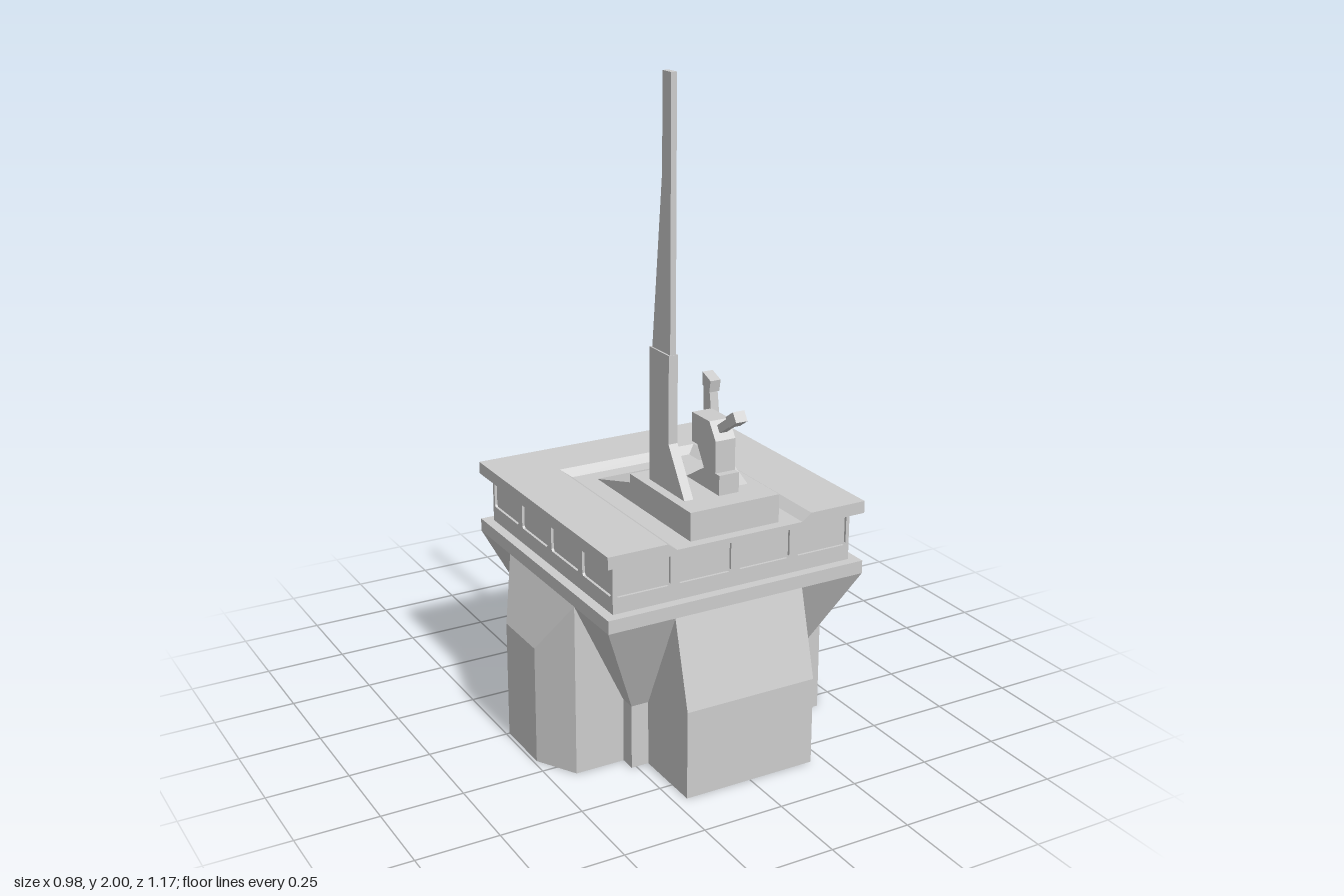
import * as THREE from 'three';
import { ConvexGeometry } from 'three/addons/geometries/ConvexGeometry.js';

const material = new THREE.MeshStandardMaterial({ color: 0xcccccc, flatShading: true });
const MID_Z = 0.095; // middle of the square upper storey

export function createModel() {
  const model = new THREE.Group();

  const add = (name, geometry, parent = model) => {
    const mesh = new THREE.Mesh(geometry, material);
    mesh.name = name;
    parent.add(mesh);
    return mesh;
  };

  // Box given by its limits on each axis
  const block = (name, [x0, x1], [y0, y1], [z0, z1]) => {
    const mesh = add(name, new THREE.BoxGeometry(x1 - x0, y1 - y0, z1 - z0));
    mesh.position.set((x0 + x1) / 2, (y0 + y1) / 2, (z0 + z1) / 2);
    return mesh;
  };

  const hull = (name, points) =>
    add(name, new ConvexGeometry(points.map((p) => new THREE.Vector3(...p))));

  const extrude = (points, depth) =>
    new THREE.ExtrudeGeometry(new THREE.Shape(points.map((p) => new THREE.Vector2(...p))), {
      depth,
      bevelEnabled: false,
    });

  // Side profile of [z, y] points, given thickness along x
  const profile = (name, points, x, width) =>
    add(name, extrude(points, width).rotateY(-Math.PI / 2).translate(x + width / 2, 0, 0));

  const rect = (x, y, z0, z1) => [[-x, y, z0], [x, y, z0], [x, y, z1], [-x, y, z1]];

  // Core: straight foot flaring out to the upper storey
  block('coreFoot', [-0.265, 0.265], [0, 0.2], [-0.175, 0.36]);
  hull('coreFlare', [...rect(0.265, 0.2, -0.175, 0.36), ...rect(0.42, 0.53, -0.325, 0.515)]);

  // Front buttress and rear buttress with its sloping tail
  profile('frontButtress', [[0.2, 0], [0.585, 0], [0.585, 0.27], [0.515, 0.53], [0.2, 0.53]], 0, 0.42);
  profile('rearButtress', [
    [0, 0], [0, 0.53], [-0.325, 0.53], [-0.39, 0.27], [-0.395, 0.2], [-0.585, 0.04], [-0.585, 0],
  ], 0, 0.42);

  // Side buttresses with chamfered corners and sloping shoulders
  for (const s of [1, -1]) {
    const points = [];
    for (const [inner, outer] of [[-0.115, 0], [0.31, 0.19]]) {
      points.push([0.2 * s, 0, inner], [0.42 * s, 0, inner], [0.49 * s, 0, outer]);
      points.push([0.2 * s, 0.53, inner], [0.42 * s, 0.53, inner], [0.49 * s, 0.365, outer]);
    }
    hull('sideButtress', points);
  }

  // Ledge and window storey
  block('ledge', [-0.42, 0.42], [0.53, 0.57], [-0.325, 0.515]);
  block('windowPanes', [-0.382, 0.382], [0.57, 0.72], [MID_Z - 0.382, MID_Z + 0.382]);
  for (let side = 0; side < 4; side++) {
    const w = side % 2 ? 0.382 : 0.39;
    const shape = new THREE.Shape([[-w, 0.57], [w, 0.57], [w, 0.72], [-w, 0.72]].map((p) => new THREE.Vector2(...p)));
    for (const cx of [-0.294, -0.098, 0.098, 0.294]) {
      const [l, r, b, t, c] = [cx - 0.085, cx + 0.085, 0.618, 0.71, 0.006];
      shape.holes.push(new THREE.Path([
        [l + c, b], [l, b + c], [l, t - c], [l + c, t], [r - c, t], [r, t - c], [r, b + c], [r - c, b],
      ].map((p) => new THREE.Vector2(...p))));
    }
    const wall = add('windowFrame', new THREE.ExtrudeGeometry(shape, { depth: 0.008, bevelEnabled: false }).translate(0, 0, 0.382));
    wall.rotation.y = (side * Math.PI) / 2;
    wall.position.z = MID_Z;
  }

  // Roof: slab plus a raised, bevelled border open at the front
  block('roofSlab', [-0.42, 0.42], [0.72, 0.735], [-0.325, 0.515]);
  for (const s of [1, -1]) {
    const border = [[0.42, 0.735], [0.42, 0.757], [0.235, 0.757], [0.205, 0.735]].map(([x, y]) => [x * s, y]);
    add('roofSideBorder', extrude(border, 0.84).translate(0, 0, -0.325));
  }
  profile('roofRearBorder', [[-0.325, 0.735], [-0.12, 0.735], [-0.145, 0.757], [-0.325, 0.757]], 0, 0.47);

  // Raised deck with a ramp behind it
  profile('deck', [
    [-0.07, 0.735], [0.483, 0.735], [0.483, 0.82], [0.135, 0.82], [0.135, 0.793],
  ], 0, 0.29);

  // Tall mast on a thicker, braced base
  profile('mastBase', [[0.2, 0.82], [0.4, 0.82], [0.31, 0.96], [0.31, 1.22], [0.2, 1.22]], -0.102, 0.029);
  profile('mast', [[0.207, 1.22], [0.308, 1.22], [0.308, 2], [0.263, 2], [0.26, 1.72]], -0.102, 0.018);

  // Gun: notched mount, barrel and muzzle
  profile('gunMount', [
    [0.23, 0.82], [0.412, 0.82], [0.412, 0.88], [0.39, 0.88], [0.39, 0.975], [0.355, 1.025],
    [0.26, 1.025], [0.26, 0.937], [0.29, 0.937], [0.328, 0.878],
  ], 0.022, 0.065);
  const gun = new THREE.Group();
  gun.name = 'gunBarrel';
  gun.position.set(0.022, 1.0, 0.366);
  gun.rotation.x = -0.59;
  model.add(gun);
  add('barrel', new THREE.BoxGeometry(0.024, 0.024, 0.1).translate(0, 0, 0.03), gun);
  add('muzzle', new THREE.BoxGeometry(0.037, 0.032, 0.045).translate(0, 0, 0.097), gun);

  // Post with a swept foot and a small hooded head
  profile('post', [
    [0.165, 0.82], [0.37, 0.82], [0.225, 0.885], [0.2, 1.05], [0.2, 1.07], [0.165, 1.07],
  ], 0.097, 0.027);
  profile('postHead', [[0.165, 1.065], [0.203, 1.052], [0.21, 1.088], [0.165, 1.105]], 0.097, 0.034);

  return model;
}
